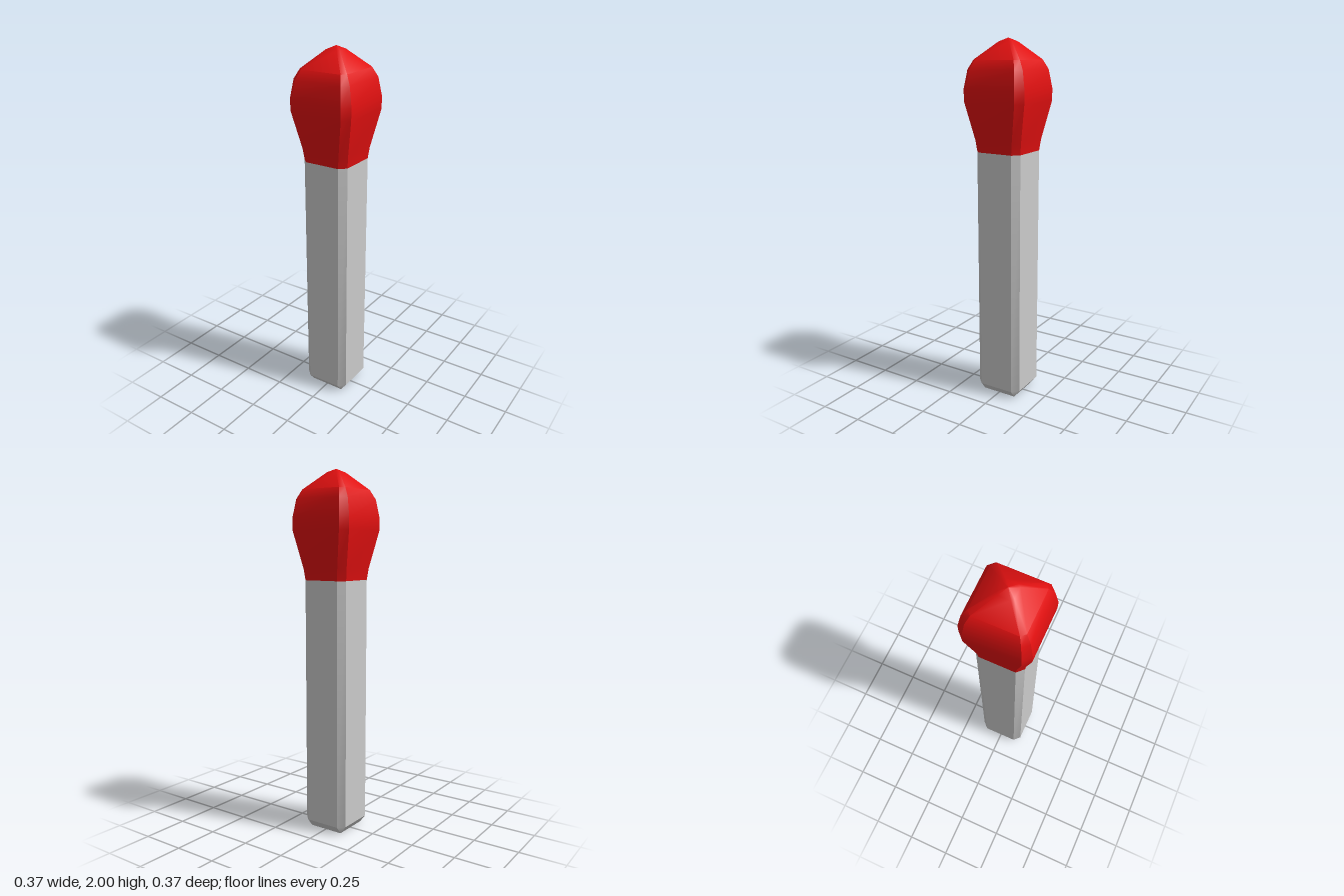
import * as THREE from 'three';
import { toCreasedNormals } from 'three/addons/utils/BufferGeometryUtils.js';

// Chamfered square: h = half width, f = half length of the flat side
const ring = ([y, h, f]) =>
  [[h, f], [h, -f], [f, -h], [-f, -h], [-h, -f], [-h, f], [-f, h], [f, h]]
    .map(([x, z]) => new THREE.Vector3(x, y, z));

// Skin a stack of chamfered squares, listed from bottom to top
function loft(sections) {
  const rings = sections.map(ring);
  const pos = [];
  const tri = (a, b, c) => {
    if (new THREE.Triangle(a, b, c).getArea() < 1e-8) return; // collapsed at a point
    for (const p of [a, b, c]) pos.push(p.x, p.y, p.z);
  };
  for (let r = 0; r < rings.length - 1; r++) {
    for (let i = 0; i < 8; i++) {
      const j = (i + 1) % 8;
      const lo = rings[r], hi = rings[r + 1];
      tri(lo[i], lo[j], hi[j]);
      tri(lo[i], hi[j], hi[i]);
    }
  }
  const geo = new THREE.BufferGeometry();
  geo.setAttribute('position', new THREE.Float32BufferAttribute(pos, 3));
  return toCreasedNormals(geo, 0.6);
}

export function createModel() {
  const group = new THREE.Group();
  group.name = 'matchstick';

  const add = (name, color, sections) => {
    const mesh = new THREE.Mesh(loft(sections), new THREE.MeshStandardMaterial({ color }));
    mesh.name = name;
    group.add(mesh);
  };

  // Square shaft with chamfered edges and bevelled foot
  add('stick', 0xcccccc, [
    [0, 0, 0],
    [0, 0.1, 0.1],
    [0.045, 0.135, 0.1],
    [1.41, 0.135, 0.1],
  ]);

  // Swollen head tapering to a blunt tip
  add('head', 0xe01010, [
    [1.41, 0.135, 0.1],
    [1.47, 0.142, 0.107],
    [1.675, 0.184, 0.147],
    [1.74, 0.185, 0.147],
    [1.84, 0.167, 0.135],
    [1.89, 0.14, 0.117],
    [1.98, 0.042, 0.03],
    [2, 0, 0],
  ]);

  return group;
}
